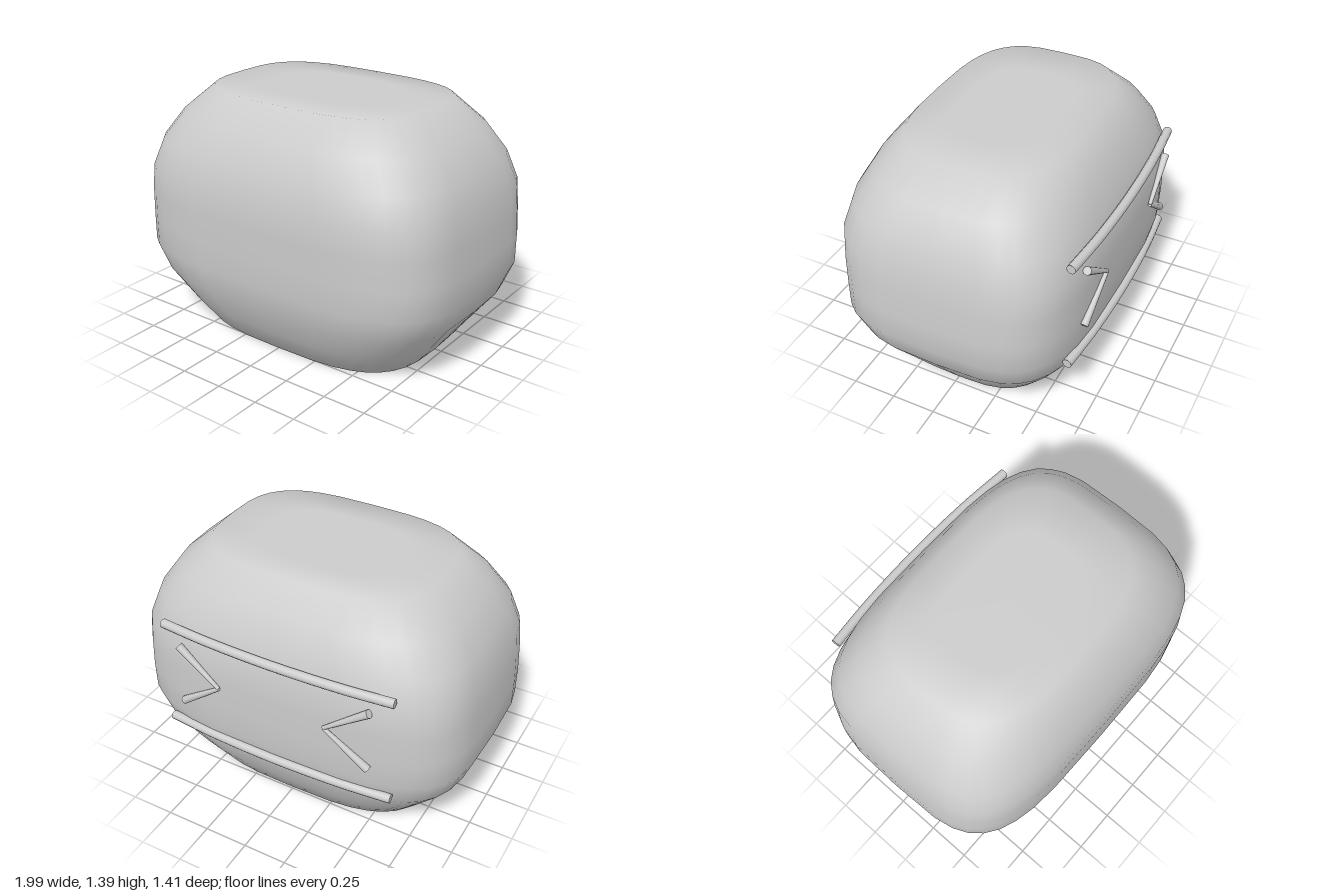
import * as THREE from 'three';

const material = new THREE.MeshStandardMaterial({ color: 0xcccccc });

// Body: stacked superellipse sections with flat top and bottom
function bodyGeometry() {
  // y, half width, front depth, back depth, squareness
  const walls = [
    [0, 0.71, 0.51, 0.49, 3.2],
    [0.15, 0.82, 0.60, 0.58, 3.4],
    [0.31, 0.94, 0.67, 0.655, 3.7],
    [0.46, 0.995, 0.70, 0.68, 4],
    [0.62, 0.995, 0.70, 0.685, 4],
    [0.78, 0.985, 0.705, 0.685, 4],
    [0.93, 0.97, 0.70, 0.68, 4],
    [1.09, 0.92, 0.66, 0.635, 3.7],
    [1.24, 0.82, 0.58, 0.56, 3.4],
    [1.39, 0.65, 0.46, 0.44, 3.2],
  ];
  const shrink = ([y, w, f, b, n], s) => [y, w * s, f * s, b * s, n];
  const bottom = walls[0], top = walls[walls.length - 1];
  const rows = [shrink(bottom, 0), shrink(bottom, 0.6), ...walls, shrink(top, 0.6), shrink(top, 0)];
  const segments = 36, positions = [], index = [];
  const power = (v, e) => Math.sign(v) * Math.abs(v) ** e;

  rows.forEach(([y, w, front, back, n], r) => {
    for (let i = 0; i < segments; i++) {
      const t = (i / segments) * Math.PI * 2;
      const s = Math.sin(t);
      positions.push(w * power(Math.cos(t), 2 / n), y, (s > 0 ? front : back) * power(s, 2 / n));
      if (r === rows.length - 1) continue;
      const a = r * segments + i, b = r * segments + ((i + 1) % segments);
      if (r > 0) index.push(a, a + segments, b);
      if (r < rows.length - 2) index.push(b, a + segments, b + segments);
    }
  });
  const geometry = new THREE.BufferGeometry();
  geometry.setAttribute('position', new THREE.Float32BufferAttribute(positions, 3));
  geometry.setIndex(index);
  geometry.computeVertexNormals();
  return geometry;
}

// Tapered rod between two points
function rod(name, from, to, r0, r1) {
  const dir = to.clone().sub(from);
  const mesh = new THREE.Mesh(new THREE.CylinderGeometry(r1, r0, dir.length(), 10), material);
  mesh.name = name;
  mesh.position.copy(from).add(to).multiplyScalar(0.5);
  mesh.quaternion.setFromUnitVectors(new THREE.Vector3(0, 1, 0), dir.normalize());
  return mesh;
}

// Horizontal bar bent around the back, with closed ends
function backBar(name, y) {
  const group = new THREE.Group();
  group.name = name;
  const points = [[-0.69, -0.642], [-0.4, -0.668], [0, -0.68], [0.4, -0.668], [0.69, -0.642]]
    .map(([x, z]) => new THREE.Vector3(x, y, z));
  const curve = new THREE.CatmullRomCurve3(points);
  const radius = 0.026;
  group.add(new THREE.Mesh(new THREE.TubeGeometry(curve, 16, radius, 10), material));
  for (const end of [0, 1]) {
    const cap = new THREE.Mesh(new THREE.CircleGeometry(radius, 10), material);
    cap.position.copy(curve.getPoint(end));
    const outward = curve.getTangent(end).multiplyScalar(end ? 1 : -1);
    cap.quaternion.setFromUnitVectors(new THREE.Vector3(0, 0, 1), outward);
    group.add(cap);
  }
  return group;
}

// Chevron pointing toward the centre of the back
function chevron(name, side) {
  const group = new THREE.Group();
  group.name = name;
  const tip = new THREE.Vector3(side * 0.32, 0.75, -0.694);
  for (const v of [-1, 1]) {
    const end = new THREE.Vector3(side * 0.57, 0.75 + v * 0.185, -0.679);
    group.add(rod('chevronArm', tip, end, 0.011, 0.023));
  }
  return group;
}

export function createModel() {
  const model = new THREE.Group();
  model.name = 'roundedBody';
  const body = new THREE.Mesh(bodyGeometry(), material);
  body.name = 'body';
  model.add(body);
  model.add(backBar('upperBar', 1.02), backBar('lowerBar', 0.38));
  model.add(chevron('leftChevron', 1), chevron('rightChevron', -1));
  return model;
}
